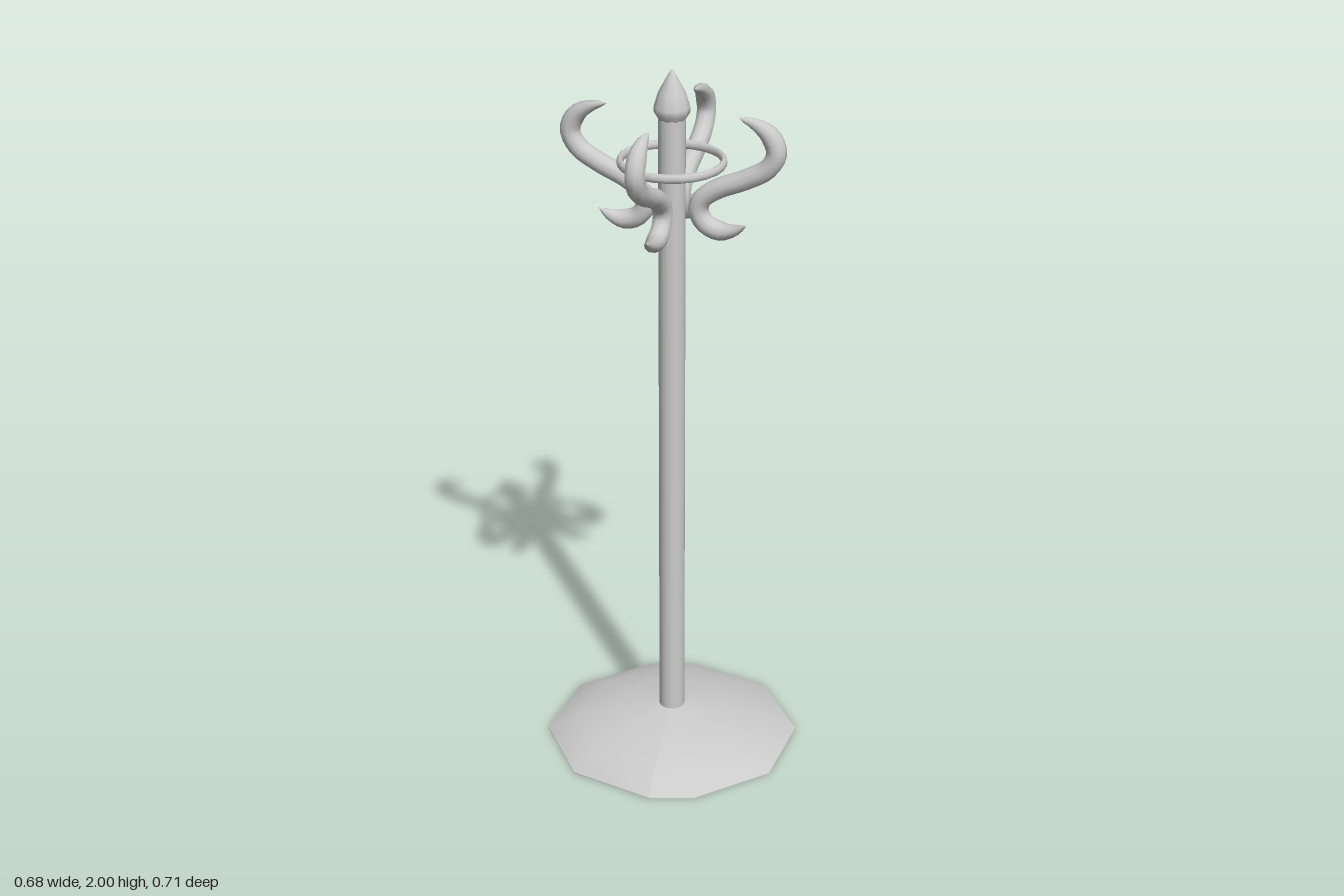
import * as THREE from 'three';

const material = new THREE.MeshStandardMaterial({ color: 0xcccccc, side: THREE.DoubleSide });

function addMesh(parent, geometry, name) {
  const mesh = new THREE.Mesh(geometry, material);
  mesh.name = name;
  parent.add(mesh);
  return mesh;
}

const lathe = (points, sides) =>
  new THREE.LatheGeometry(points.map(([r, y]) => new THREE.Vector2(r, y)), sides);

// Shallow dome whose ten corners are unevenly spaced
function baseGeometry() {
  const angles = [280, 300, 340, 380, 420, 460, 480, 520, 560, 600, 640];
  const profile = [[0.36, 0], [0.36, 0.004], [0.275, 0.045], [0.16, 0.074], [0.035, 0.092], [0, 0.092]];
  const geometry = lathe(profile, 10);
  const pos = geometry.attributes.position;
  for (let i = 0; i < pos.count; i++) {
    const [r, y] = profile[i % profile.length];
    const a = THREE.MathUtils.degToRad(angles[Math.floor(i / profile.length)]);
    pos.setXYZ(i, r * Math.cos(a), y, -r * Math.sin(a));
  }
  geometry.computeVertexNormals();
  return geometry;
}

// S-shaped hook tube, narrowed to a point at both ends
function hookGeometry() {
  const curve = new THREE.CatmullRomCurve3([
    [0.18, 1.89], [0.225, 1.878], [0.267, 1.85], [0.284, 1.805], [0.262, 1.762],
    [0.2, 1.724], [0.125, 1.69], [0.081, 1.655], [0.074, 1.62], [0.095, 1.588],
    [0.135, 1.574], [0.172, 1.58], [0.205, 1.597],
  ].map(([x, y]) => new THREE.Vector3(x, y, 0)));
  const steps = 40, sides = 10;
  const geometry = new THREE.TubeGeometry(curve, steps, 0.027, sides);
  const pos = geometry.attributes.position;
  const p = new THREE.Vector3();
  for (let i = 0; i < pos.count; i++) {
    const t = Math.floor(i / (sides + 1)) / steps;
    const center = curve.getPointAt(t);
    const taper = Math.min(1, t / 0.17, (1 - t) / 0.13);
    p.fromBufferAttribute(pos, i).sub(center).multiplyScalar(Math.pow(taper, 0.7)).add(center);
    pos.setXYZ(i, p.x, p.y, p.z);
  }
  return geometry;
}

export function createModel() {
  const model = new THREE.Group();
  model.name = 'coatStand';

  // Foot
  addMesh(model, baseGeometry(), 'base');
  const underside = new THREE.Shape([100, 60, 20, -20, -60, -80, -120, -160, -200, -240].map((d) => {
    const a = THREE.MathUtils.degToRad(d);
    return new THREE.Vector2(0.36 * Math.cos(a), -0.36 * Math.sin(a));
  }));
  addMesh(model, new THREE.ShapeGeometry(underside).rotateX(Math.PI / 2), 'baseUnderside');

  // Upright
  const pole = addMesh(model, new THREE.CylinderGeometry(0.036, 0.036, 1.8, 16), 'pole');
  pole.position.y = 0.98;

  // Pointed cap
  addMesh(model, lathe([[0.034, 1.865], [0.047, 1.885], [0.048, 1.9], [0.036, 1.94],
    [0.016, 1.977], [0.004, 1.998], [0, 2]], 10), 'finial');

  // Ring, taller than it is thick
  const ring = addMesh(model, new THREE.TorusGeometry(0.137, 0.0085, 8, 24).rotateX(Math.PI / 2), 'ring');
  ring.scale.y = 1.5;
  ring.position.y = 1.752;

  // Four hooks around the pole, each turned very slightly
  const hook = hookGeometry();
  for (let i = 0; i < 4; i++) {
    addMesh(model, hook, 'hook' + (i + 1)).rotation.y = i * Math.PI / 2 + 0.02;
  }
  return model;
}
